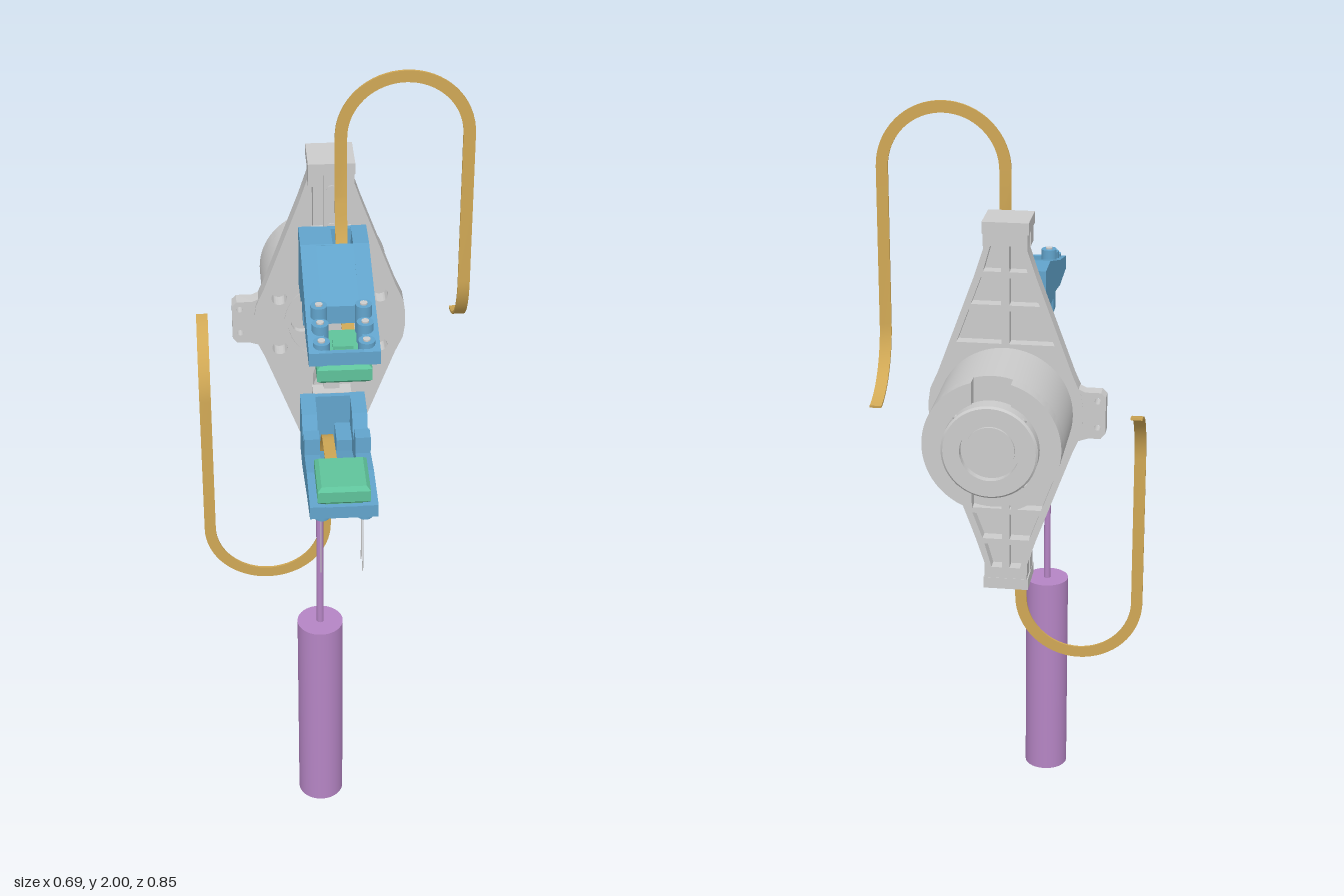
import * as THREE from 'three';
import { toCreasedNormals } from 'three/addons/utils/BufferGeometryUtils.js';

const mat = (color) => new THREE.MeshStandardMaterial({ color });
const GREY = mat(0xcccccc), BLUE = mat(0x62a4cc), GREEN = mat(0x5fc39b), GOLD = mat(0xd0a855), PURPLE = mat(0xb585c4);

function add(parent, name, geo, material, x = 0, y = 0, z = 0) {
  const m = new THREE.Mesh(geo, material);
  m.name = name;
  m.position.set(x, y, z);
  parent.add(m);
  return m;
}

// Box given by its minimum and maximum on each axis
function box(parent, name, material, [x0, x1], [y0, y1], [z0, z1]) {
  return add(parent, name, new THREE.BoxGeometry(x1 - x0, y1 - y0, z1 - z0), material,
    (x0 + x1) / 2, (y0 + y1) / 2, (z0 + z1) / 2);
}

const poly = (pts) => new THREE.Shape(pts.map(([x, y]) => new THREE.Vector2(x, y)));
const circle = (x, y, r) => new THREE.Path().absarc(x, y, r, 0, Math.PI * 2, true);

function slab(shape, z0, z1) {
  const g = new THREE.ExtrudeGeometry(shape, { depth: z1 - z0, bevelEnabled: false, curveSegments: 24 });
  return toCreasedNormals(g.translate(0, 0, z0), 0.6);
}

// Side profile of [z, y] points extruded from x0 to x1
function profile(pts, x0, x1) {
  const g = new THREE.ExtrudeGeometry(poly(pts), { depth: x1 - x0, bevelEnabled: false });
  return g.rotateY(-Math.PI / 2).translate(x1, 0, 0);
}

// Surface of revolution about z; points are [radius, z], listed from front to back
function turned(pts) {
  const g = new THREE.LatheGeometry(pts.map(([r, z]) => new THREE.Vector2(r, -z)), 64);
  return toCreasedNormals(g.rotateX(-Math.PI / 2), 0.5);
}

const EDGE = [[0.055, 0.49], [0.055, 0.42], [0.078, 0.35], [0.17, 0.1], [0.19, 0.055], [0.195, 0.02]];
const halfWidth = (y) => {
  for (let i = 0; i < EDGE.length - 1; i++) {
    const [x0, y0] = EDGE[i], [x1, y1] = EDGE[i + 1];
    if (y <= y0 && y >= y1) return x0 + (x1 - x0) * (y0 - y) / (y0 - y1);
  }
  return 0.195;
};

function plateShape() {
  const upper = EDGE.slice().reverse();
  const right = [...EDGE.map(([x, y]) => [x, -y]), ...upper];
  return poly([...right, ...right.map(([x, y]) => [-x, y]).reverse()]);
}

function buildPalm(parent) {
  const face = plateShape(), back = plateShape();
  for (const s of [face, back])
    for (const sx of [-1, 1]) for (const sy of [-1, 1]) s.holes.push(circle(sx * 0.13, sy * 0.075, 0.02));
  // Hub holes on the front skin
  for (let i = 0; i < 6; i++) {
    const a = i * Math.PI / 3;
    face.holes.push(circle(0.073 * Math.cos(a), 0.073 * Math.sin(a), i % 3 ? 0.013 : 0.028));
  }
  // Open pockets between the back ribs
  for (const sx of [-1, 1]) for (const sy of [-1, 1])
    for (const [a, b] of [[0.18, 0.265], [0.28, 0.35], [0.365, 0.43]]) {
      const pts = [[0.01, a], [halfWidth(a) - 0.018, a], [halfWidth(b) - 0.018, b], [0.01, b]];
      back.holes.push(poly(pts.map(([x, y]) => [x * sx, y * sy])));
    }
  add(parent, 'palmFace', slab(face, -0.115, -0.1), GREY);
  add(parent, 'palmBackRibs', slab(back, -0.147, -0.115), GREY);

  // Hub ring and side tab
  const ring = new THREE.Shape().absarc(0, 0, 0.118, 0, Math.PI * 2);
  ring.holes.push(circle(0, 0, 0.108));
  add(parent, 'hubRing', slab(ring, -0.1, -0.096), GREY);
  const tab = poly([[-0.18, -0.07], [-0.21, -0.06], [-0.24, -0.06], [-0.252, -0.045], [-0.252, 0.05], [-0.24, 0.062], [-0.2, 0.062], [-0.16, 0.08]].reverse());
  for (const y of [-0.03, 0.04]) tab.holes.push(circle(-0.232, y, 0.008));
  add(parent, 'sideTab', slab(tab, -0.146, -0.108), GREY);

  // Slide rail with screw heads, supporting webs and end caps
  box(parent, 'rail', GREY, [-0.02, 0.02], [-0.47, 0.47], [-0.056, -0.035]);
  for (let i = -4; i <= 4; i++) {
    const g = new THREE.CylinderGeometry(0.012, 0.012, 0.006, 16).rotateX(Math.PI / 2);
    add(parent, 'railScrew', g, GREY, 0, i * 0.105, -0.034);
  }
  for (const s of [-1, 1]) {
    const web = poly([[-0.045, 0.46], [-0.045, 0.16], [-0.03, 0.115], [0.03, 0.115], [0.045, 0.16], [0.045, 0.46]]);
    const w = add(parent, 'railWeb', slab(web, -0.1, -0.055), GREY);
    if (s < 0) w.rotation.z = Math.PI;
    box(parent, 'endCap', GREY, [-0.058, 0.058], s > 0 ? [0.46, 0.49] : [-0.49, -0.46], [-0.148, -0.035]);
    for (const x of [-0.045, 0.045])
      box(parent, 'endLug', GREY, [x - 0.012, x + 0.012], s > 0 ? [0.42, 0.465] : [-0.465, -0.42], [-0.1, -0.05]);
  }
}

function buildMotor(parent) {
  add(parent, 'motorBody', turned([[0, -0.14], [0.17, -0.14], [0.17, -0.352], [0, -0.352]]), GREY);
  // Rear collar in two halves, open at top and bottom
  const gap = Math.asin(0.048 / 0.17), h = Math.PI / 2;
  for (const c of [0, Math.PI]) {
    const s = new THREE.Shape();
    s.absarc(0, 0, 0.17, c - h + gap, c + h - gap, false);
    s.absarc(0, 0, 0.1, c + h - gap * 1.75, c - h + gap * 1.75, true);
    add(parent, 'motorCollar', slab(s, -0.39, -0.352), GREY);
  }
  add(parent, 'motorCap', turned([[0, -0.38], [0.118, -0.38], [0.118, -0.42], [0.113, -0.425], [0.072, -0.425],
    [0.072, -0.405], [0.06, -0.405], [0.06, -0.412], [0, -0.412]]), GREY);
  for (let i = 0; i < 4; i++) {
    const a = Math.PI / 4 + i * Math.PI / 2;
    const m = add(parent, 'capScrew', new THREE.CylinderGeometry(0.007, 0.007, 0.008, 12), GREY,
      0.117 * Math.cos(a), 0.117 * Math.sin(a), -0.41);
    m.rotation.z = a - Math.PI / 2;
  }
}

function buildFinger(parent) {
  const side = [[-0.015, 0.165], [0.075, 0.17], [0.1, 0.21], [0.14, 0.21], [0.147, 0.17], [0.187, 0.17], [0.19, 0.215],
    [0.285, 0.2], [0.425, 0.205], [0.425, 0.24], [0.285, 0.27], [0.075, 0.33], [-0.015, 0.33]];
  add(parent, 'fingerWall', profile(side, 0.045, 0.084), BLUE);
  add(parent, 'fingerWall', profile(side, -0.084, -0.045), BLUE);
  add(parent, 'fingerRoof', profile([[0.075, 0.285], [0.2, 0.24], [0.272, 0.225], [0.272, 0.273], [0.075, 0.33]], -0.046, 0.046), BLUE);
  box(parent, 'fingerBack', BLUE, [-0.046, 0.046], [0.166, 0.329], [-0.015, 0]);
  box(parent, 'slotFiller', BLUE, [-0.046, -0.005], [0.25, 0.329], [-0.002, 0.08]);
  box(parent, 'fingerTip', BLUE, [-0.046, 0.046], [0.206, 0.24], [0.412, 0.425]);
  box(parent, 'fingerMount', GREY, [-0.05, 0.05], [0.165, 0.31], [-0.056, -0.014]);

  // Stepped pegs with screws
  [[0.3, 0.295], [0.348, 0.275], [0.396, 0.255]].forEach(([z, top]) => {
    for (const x of [-0.053, 0.053]) {
      add(parent, 'peg', new THREE.CylinderGeometry(0.02, 0.02, top - 0.22, 24), BLUE, x, (top + 0.22) / 2, z);
      add(parent, 'pegScrew', new THREE.CylinderGeometry(0.009, 0.009, 0.01, 16), GREY, x, top - 0.001, z);
    }
  });

  // Sensor pad with chamfered rim and the board seen through the window
  const pad = new THREE.ExtrudeGeometry(poly([[-0.055, -0.06], [0.055, -0.06], [0.055, 0.06], [-0.055, 0.06]]),
    { depth: 0.03, bevelSize: 0.01, bevelThickness: 0.01, bevelSegments: 1 });
  add(parent, 'sensorPad', pad.rotateX(-Math.PI / 2), GREEN, 0, 0.162, 0.355);
  box(parent, 'sensorBoard', GREEN, [-0.044, 0.044], [0.195, 0.215], [0.285, 0.411]);
  box(parent, 'sensorChip', GREEN, [-0.024, 0.024], [0.21, 0.224], [0.325, 0.372]);
  box(parent, 'sensorPort', GREEN, [-0.02, 0.02], [0.21, 0.222], [0.382, 0.394]);
}

// Flat cable: out of the finger, up and round, then curled back behind
function buildRibbon(parent) {
  const V = (x, y, z) => new THREE.Vector3(x, y, z), X = V(1, 0, 0);
  const lead = new THREE.CatmullRomCurve3([V(0.02, 0.195, 0.3), V(0.02, 0.205, 0.18), V(0.02, 0.22, 0.1),
    V(0.02, 0.27, 0.05), V(0.02, 0.33, 0.02), V(0.02, 0.42, 0)]);
  const frames = lead.getPoints(24).map((p, i) => [p, X, lead.getTangent(i / 24)]);
  for (let i = 0; i <= 32; i++) {
    const a = Math.PI * (1 - i / 32), c = Math.cos(a), s = Math.sin(a);
    frames.push([V(0.175 + 0.155 * c, 0.58 + 0.155 * s, 0), V(-c, -s, 0), V(s, -c, 0)]);
  }
  for (let i = 0; i <= 16; i++) {
    const a = i / 16 * 1.45, c = Math.cos(a), s = Math.sin(a);
    frames.push([V(0.33, 0.17 - 0.172 * s, -0.175 * (1 - c)), V(-1, 0, 0), V(0, -c, -s)]);
  }
  const pos = [], idx = [];
  frames.forEach(([p, w, t], k) => {
    const n = V().crossVectors(t, w).normalize();
    for (const [a, b] of [[-1, -1], [1, -1], [1, 1], [-1, 1]])
      pos.push(...p.clone().addScaledVector(w, a * 0.015).addScaledVector(n, b * 0.003).toArray());
    if (k) for (let j = 0; j < 4; j++) {
      const a = 4 * k - 4 + j, b = 4 * k - 4 + (j + 1) % 4;
      idx.push(a, b, b + 4, a, b + 4, a + 4);
    }
  });
  const e = pos.length / 3 - 4;
  idx.push(0, 2, 1, 0, 3, 2, e, e + 1, e + 2, e, e + 2, e + 3);
  const g = new THREE.BufferGeometry();
  g.setAttribute('position', new THREE.Float32BufferAttribute(pos, 3));
  g.setIndex(idx);
  const ribbon = GOLD.clone();
  ribbon.side = THREE.DoubleSide;
  add(parent, 'ribbonCable', toCreasedNormals(g, 0.6), ribbon);
}

export function createModel() {
  const model = new THREE.Group();
  model.name = 'gripper';
  const body = new THREE.Group();
  body.name = 'gripperBody';
  body.position.y = 1.248;
  model.add(body);
  buildPalm(body);
  buildMotor(body);

  // Two opposing fingers, the second turned half a revolution
  for (const [name, angle] of [['upperFinger', 0], ['lowerFinger', Math.PI]]) {
    const finger = new THREE.Group();
    finger.name = name;
    finger.rotation.z = angle;
    body.add(finger);
    buildFinger(finger);
    buildRibbon(finger);
  }

  // Hanging cylinder and thin probe wires under the lower finger
  add(model, 'hangingCylinder', new THREE.CylinderGeometry(0.059, 0.059, 0.585, 40), PURPLE, -0.053, 0.2925, 0.303);
  add(model, 'hangingStem', new THREE.CylinderGeometry(0.009, 0.009, 0.37, 16), PURPLE, -0.053, 0.77, 0.303);
  for (const [x, z] of [[-0.053, 0.348], [0.053, 0.3], [0.053, 0.348]])
    add(model, 'probeWire', new THREE.CylinderGeometry(0.0015, 0.0015, 0.2, 6), GREY, x, 0.88, z);
  return model;
}
